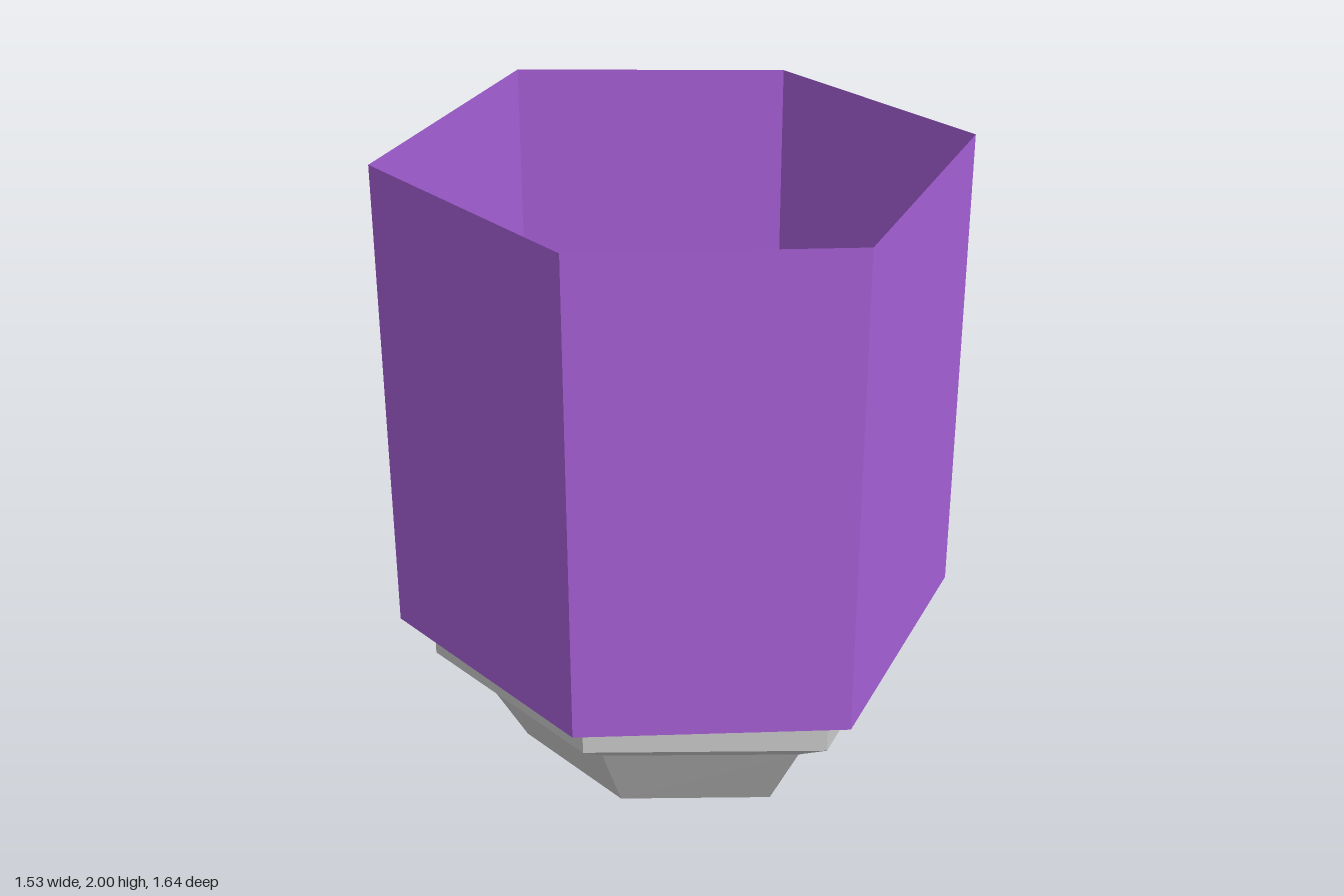
import * as THREE from 'three';

// Horizontal hexagon pointing along z: half width, tip z, front and back corner z
const hexagon = (y, w, tip, front, back = -front, cx = 0.025) => [
  [cx, y, tip], [cx + w, y, front], [cx + w, y, back],
  [cx, y, -tip], [cx - w, y, back], [cx - w, y, front],
];

// Skin a stack of hexagons from bottom to top, optionally capping the ends
function loft(rings, capBottom, capTop) {
  const pos = [];
  const tri = (a, b, c) => pos.push(...a, ...b, ...c);
  for (let r = 0; r < rings.length - 1; r++) {
    for (let i = 0; i < 6; i++) {
      const j = (i + 1) % 6, lo = rings[r], hi = rings[r + 1];
      tri(lo[i], lo[j], hi[j]);
      tri(lo[i], hi[j], hi[i]);
    }
  }
  const top = rings[rings.length - 1];
  for (let i = 1; i < 5; i++) {
    if (capBottom) tri(rings[0][0], rings[0][i + 1], rings[0][i]);
    if (capTop) tri(top[0], top[i], top[i + 1]);
  }
  const geo = new THREE.BufferGeometry();
  geo.setAttribute('position', new THREE.Float32BufferAttribute(pos, 3));
  geo.computeVertexNormals();
  return geo;
}

function part(name, geometry, color, side = THREE.FrontSide) {
  const mesh = new THREE.Mesh(geometry,
    new THREE.MeshStandardMaterial({ color, side, flatShading: true }));
  mesh.name = name;
  return mesh;
}

export function createModel() {
  const group = new THREE.Group();
  group.name = 'hexagonalContainer';

  // Stepped grey base, its rim ending in a ring around the floor panel
  const floor = hexagon(0.455, 0.498, 0.617, 0.392);
  group.add(part('base', loft([
    hexagon(0, 0.43, 0.49, 0.295),
    hexagon(0.255, 0.55, 0.62, 0.375),
    hexagon(0.355, 0.667, 0.753, 0.452),
    hexagon(0.455, 0.667, 0.753, 0.452),
    floor,
  ], true, false), 0xcccccc));

  // Blue panel filling the ring
  group.add(part('floorPanel', loft([floor], false, true), 0x0d4fd6));

  // Thin open wall, its side corners set slightly back
  const wall = (y) => {
    const ring = hexagon(y, 0.765, 0.82, 0.455, -0.485, 0);
    ring[0][0] = ring[3][0] = 0.025;
    return ring;
  };
  group.add(part('wall', loft([wall(0.455), wall(2)], false, false),
    0xa860d8, THREE.DoubleSide));

  return group;
}
